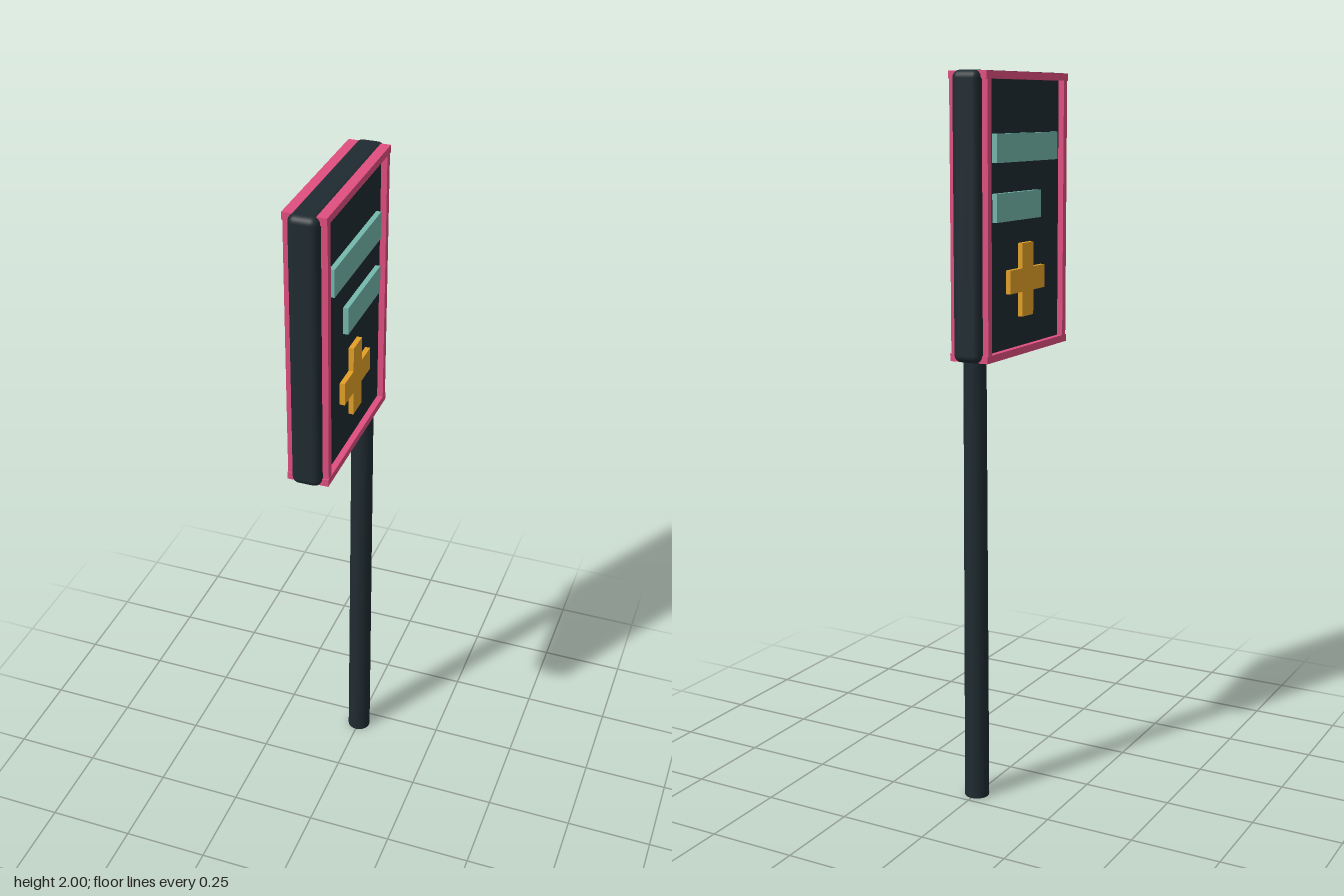
import * as THREE from 'three';
import { RoundedBoxGeometry } from 'three/addons/geometries/RoundedBoxGeometry.js';

export function createModel() {
  const model = new THREE.Group();
  const mat = (color) => new THREE.MeshStandardMaterial({ color });
  const dark = mat(0x1f2b31), pink = mat(0xe04f80), teal = mat(0x74b8ad), orange = mat(0xe3a028);

  const add = (parent, name, geometry, material, x, y, z) => {
    const mesh = new THREE.Mesh(geometry, material);
    mesh.name = name;
    mesh.position.set(x, y, z);
    parent.add(mesh);
    return mesh;
  };

  // Slightly tapered pole near the back edge of the sign
  add(model, 'pole', new THREE.CylinderGeometry(0.031, 0.0345, 1.27, 20), dark, 0, 0.635, -0.2);

  // Sign panel with softened edges
  const bottom = 1.245, top = 2, mid = (bottom + top) / 2;
  add(model, 'signPanel', new RoundedBoxGeometry(0.08, top - bottom, 0.508, 4, 0.02), dark, 0, mid, 0);

  // Plus sign outline, centred on the origin
  const a = 0.1, b = 0.032, depth = 0.022;
  const plus = new THREE.Shape([
    [-b, -a], [b, -a], [b, -b], [a, -b], [a, b], [b, b],
    [b, a], [-b, a], [-b, b], [-a, b], [-a, -b], [-b, -b],
  ].map(([x, y]) => new THREE.Vector2(x, y)));
  const plusGeometry = new THREE.ExtrudeGeometry(plus, { depth, bevelEnabled: false });
  plusGeometry.translate(0, 0, -depth / 2).rotateY(Math.PI / 2);

  // Both faces carry the same frame and raised symbols
  for (const side of [1, -1]) {
    const face = new THREE.Group();
    face.name = side > 0 ? 'leftFace' : 'rightFace';
    model.add(face);

    // Raised border
    const fx = side * 0.0435, t = 0.02;
    for (const y of [bottom + t / 2, top - 0.002 - t / 2])
      add(face, 'frameRail', new THREE.BoxGeometry(0.027, t, 0.466), pink, fx, y, 0);
    for (const z of [-0.218, 0.218])
      add(face, 'frameStile', new THREE.BoxGeometry(0.026, top - bottom - 0.03, t), pink, fx, mid, z);

    // Text bars and plus sign
    const sx = side * 0.043;
    add(face, 'longBar', new THREE.BoxGeometry(depth, 0.075, 0.35), teal, sx, 1.802, 0);
    add(face, 'shortBar', new THREE.BoxGeometry(depth, 0.075, 0.25), teal, sx, 1.648, -0.05);
    add(face, 'plusSign', plusGeometry, orange, sx, 1.447, 0);
  }
  return model;
}
